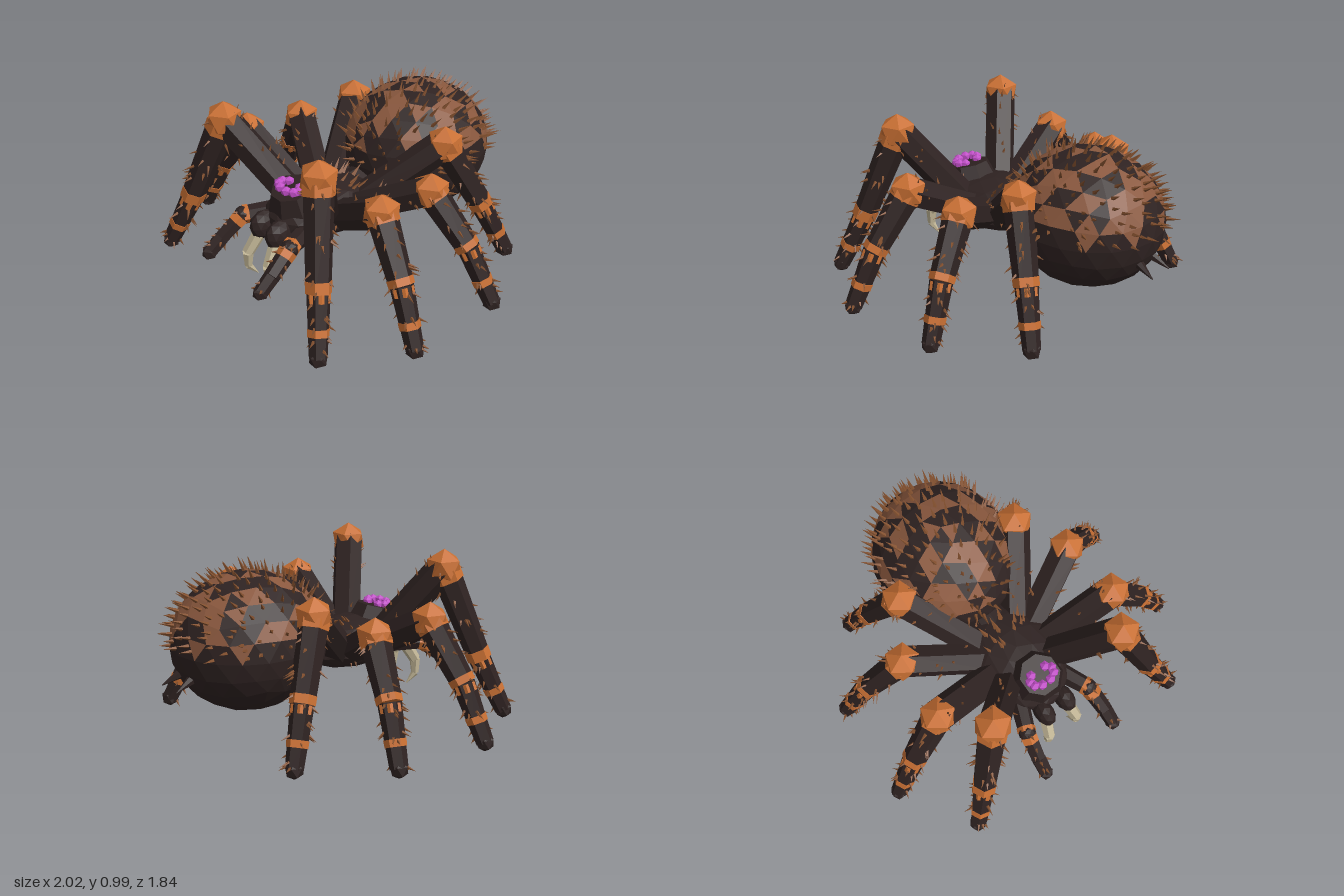
import * as THREE from 'three';
import { mergeGeometries } from 'three/addons/utils/BufferGeometryUtils.js';

const V = (x, y, z) => new THREE.Vector3(x, y, z);
const UP = V(0, 1, 0);
const mat = (name, color) => Object.assign(new THREE.MeshStandardMaterial({ color }), { name });

export function createModel() {
  const model = new THREE.Group();
  model.name = 'spider';
  const dark = mat('dark brown', 0x2e2221);
  const brown = mat('patch brown', 0x8a583e);
  const bristle = mat('bristle brown', 0x84512f);
  const orange = mat('orange', 0xc86f33);
  const purple = mat('eye purple', 0xc04ec6);
  const ivory = mat('fang ivory', 0xc2b696);

  let seed = 7;
  const rand = () => {
    seed = (seed * 16807) % 2147483647;
    return seed / 2147483647;
  };
  const spread = (a) => (rand() - 0.5) * 2 * a;

  // Faceted normals
  const flat = (geo) => {
    const g = geo.index ? geo.toNonIndexed() : geo;
    g.computeVertexNormals();
    return g;
  };
  const add = (parent, name, geo, material) => {
    const mesh = new THREE.Mesh(geo, material);
    mesh.name = name;
    parent.add(mesh);
    return mesh;
  };
  // Faceted ball with a corner pointing straight up
  const ball = (c, r, detail) => flat(new THREE.IcosahedronGeometry(1, detail)
    .rotateX(-Math.atan((1 + Math.sqrt(5)) / 2)).scale(r.x, r.y, r.z).translate(c.x, c.y, c.z));
  const round = (c, r, detail) => ball(c, V(r, r, r), detail);
  // Tapered bar from a to b
  const bar = (a, b, ra, rb, sides = 7, turn = 0) => {
    const d = b.clone().sub(a);
    const g = new THREE.CylinderGeometry(rb, ra, d.length(), sides);
    g.rotateY(turn);
    g.applyQuaternion(new THREE.Quaternion().setFromUnitVectors(UP, d.normalize()));
    const m = a.clone().lerp(b, 0.5);
    return flat(g.translate(m.x, m.y, m.z));
  };
  const spike = (p, dir, len, r) => {
    const g = new THREE.ConeGeometry(r, len, 4, 1, true).translate(0, len * 0.4, 0);
    g.applyQuaternion(new THREE.Quaternion().setFromUnitVectors(UP, dir.clone().normalize()));
    return flat(g.translate(p.x, p.y, p.z));
  };
  // Bristles scattered around a bar
  const bristles = (a, b, ra, rb, count, len) => {
    const axis = b.clone().sub(a).normalize();
    return Array.from({ length: count }, () => {
      const t = rand();
      const out = V(spread(1), spread(1), spread(1)).cross(axis).normalize();
      const p = a.clone().lerp(b, t).addScaledVector(out, (ra + (rb - ra) * t) * 0.92);
      return spike(p, out.addScaledVector(axis, 0.7), len * (0.7 + rand() * 0.6), 0.009);
    });
  };

  // Abdomen with scattered brown facets on its upper half
  const ac = V(0, 0.545, -0.413), ar = V(0.4, 0.377, 0.437);
  const abdomen = ball(ac, ar, 3);
  const pos = abdomen.attributes.position;
  for (let i = 0; i < pos.count; i += 3) {
    const y = (pos.getY(i) + pos.getY(i + 1) + pos.getY(i + 2)) / 3;
    const patched = y > 0.61 + spread(0.06) && rand() < 0.48;
    abdomen.addGroup(i, 3, patched ? 1 : 0);
  }
  add(model, 'abdomen', abdomen, [dark, brown]);

  // Abdomen bristles spiralling down the upper half, swept backwards
  const hairs = [];
  for (let i = 0; i < 190; i++) {
    const h = 1 - (i + rand()) / 195, a = i * 2.4 + spread(0.15), s = Math.sqrt(1 - h * h);
    const n = V(s * Math.cos(a), h, s * Math.sin(a));
    const p = n.clone().multiply(ar).multiplyScalar(0.98).add(ac);
    hairs.push(spike(p, n.add(V(0, 0.1, -0.5)), 0.065 + rand() * 0.035, 0.013));
  }
  add(model, 'abdomenBristles', mergeGeometries(hairs), bristle);

  // Thorax, block-like head and waist
  add(model, 'thorax', ball(V(0, 0.405, 0.27), V(0.25, 0.14, 0.35), 2), dark);
  add(model, 'head', bar(V(0, 0.38, 0.43), V(0, 0.575, 0.48), 0.19, 0.115, 8, Math.PI / 8), dark);
  add(model, 'waist', bar(V(0, 0.42, 0.08), V(0, 0.45, -0.1), 0.1, 0.1, 8), dark);
  const tuft = [];
  for (let i = 0; i < 14; i++) {
    const x = spread(0.13), z = 0.07 + rand() * 0.17;
    tuft.push(spike(V(x, 0.53 - x * x * 2, z), V(x * 3, 0.7, -0.6), 0.085, 0.015));
  }
  add(model, 'thoraxTuft', mergeGeometries(tuft), bristle);

  // Ring of eight eyes
  const eyes = [-100, -62, -22, 22, 62, 100, 140, -140].map((deg) => {
    const a = deg * Math.PI / 180;
    return round(V(0.073 * Math.sin(a), 0.587, 0.492 + 0.045 * Math.cos(a)), 0.03, 0);
  });
  add(model, 'eyes', mergeGeometries(eyes), purple);

  // Legs: hip, knee and foot for the left side, front to back
  const legs = [
    [V(0.14, 0.42, 0.37), V(0.415, 0.865, 0.608), V(0.695, 0.052, 0.85)],
    [V(0.16, 0.41, 0.29), V(0.585, 0.65, 0.352), V(0.95, 0.052, 0.437)],
    [V(0.16, 0.41, 0.18), V(0.56, 0.625, -0.01), V(0.918, 0.052, -0.142)],
    [V(0.13, 0.42, 0.1), V(0.385, 0.74, -0.27), V(0.61, 0.052, -0.565)],
  ];
  for (const side of [1, -1]) {
    const flip = (p) => V(p.x * side, p.y, p.z);
    const label = side > 0 ? 'left' : 'right';

    legs.forEach((points, i) => {
      const leg = new THREE.Group();
      leg.name = `${label}Leg${i + 1}`;
      model.add(leg);
      const [hip, knee, foot] = points.map(flip);
      const shin = knee.clone().lerp(foot, 0.6).setY(0.35);
      const ankle = knee.clone().lerp(foot, 0.86).setY(0.155);
      add(leg, 'thigh', bar(hip, knee, 0.088, 0.088, 6), dark);
      add(leg, 'knee', round(knee, 0.106, 0), orange);
      add(leg, 'shin', bar(knee, shin, 0.083, 0.066, 6), dark);
      add(leg, 'lowerLeg', bar(shin, ankle, 0.063, 0.053, 6), dark);
      add(leg, 'foot', mergeGeometries([
        bar(ankle, foot, 0.053, 0.048, 6), round(foot, 0.052, 0)]), dark);

      // Orange bands: solid rings with broken ones below them
      const band = (a, b, t0, t1, r0, r1, turn) =>
        bar(a.clone().lerp(b, t0), a.clone().lerp(b, t1), r0, r1, 6, turn);
      add(leg, 'bands', mergeGeometries([
        band(knee, shin, 0.04, 0.15, 0.088, 0.086, 0),
        band(knee, shin, 0.9, 1.01, 0.071, 0.069, 0),
        band(shin, ankle, 0.03, 0.24, 0.063, 0.061, Math.PI / 6),
        band(shin, ankle, 0.84, 1.02, 0.059, 0.057, 0)]), orange);

      add(leg, 'legBristles', mergeGeometries([
        ...bristles(hip, knee, 0.088, 0.088, 10, 0.04),
        ...bristles(knee, shin, 0.083, 0.066, 20, 0.055),
        ...bristles(shin, ankle, 0.063, 0.053, 14, 0.05),
        ...bristles(ankle, foot, 0.053, 0.048, 6, 0.04)]), bristle);
    });

    // Feeler beside the jaws
    const feeler = new THREE.Group();
    feeler.name = `${label}Feeler`;
    model.add(feeler);
    const [root, bend, wrist, tip] =
      [V(0.13, 0.38, 0.46), V(0.215, 0.375, 0.655), V(0.235, 0.27, 0.79), V(0.24, 0.205, 0.87)].map(flip);
    add(feeler, 'feelerArm', mergeGeometries([
      bar(root, bend, 0.055, 0.048, 6), round(bend, 0.05, 1),
      bar(bend, wrist, 0.049, 0.044, 6), bar(wrist, tip, 0.044, 0.04, 6),
      round(tip, 0.045, 0)]), dark);
    add(feeler, 'feelerBands', mergeGeometries([
      bar(bend.clone().lerp(root, 0.14), bend, 0.053, 0.053, 6),
      bar(bend.clone().lerp(wrist, 0.1), bend.clone().lerp(wrist, 0.35), 0.052, 0.05, 6)]), orange);
    add(feeler, 'feelerBristles', mergeGeometries([
      ...bristles(bend, wrist, 0.049, 0.044, 9, 0.035),
      ...bristles(wrist, tip, 0.044, 0.04, 7, 0.035)]), bristle);

    // Jaw and curved fang
    add(model, `${label}Jaw`, ball(flip(V(0.07, 0.37, 0.62)), V(0.055, 0.085, 0.085), 1), dark);
    const f = [V(0.075, 0.32, 0.65), V(0.095, 0.215, 0.715), V(0.1, 0.13, 0.715), V(0.08, 0.065, 0.665)].map(flip);
    add(model, `${label}Fang`, mergeGeometries([
      bar(f[0], f[1], 0.038, 0.033, 6), bar(f[1], f[2], 0.033, 0.023, 6),
      bar(f[2], f[3], 0.023, 0.002, 6)]), ivory);

    // Spinneret at the tail
    add(model, `${label}Spinneret`,
      bar(flip(V(0.05, 0.44, -0.77)), flip(V(0.072, 0.375, -0.91)), 0.036, 0.003, 6), dark);
  }
  return model;
}
